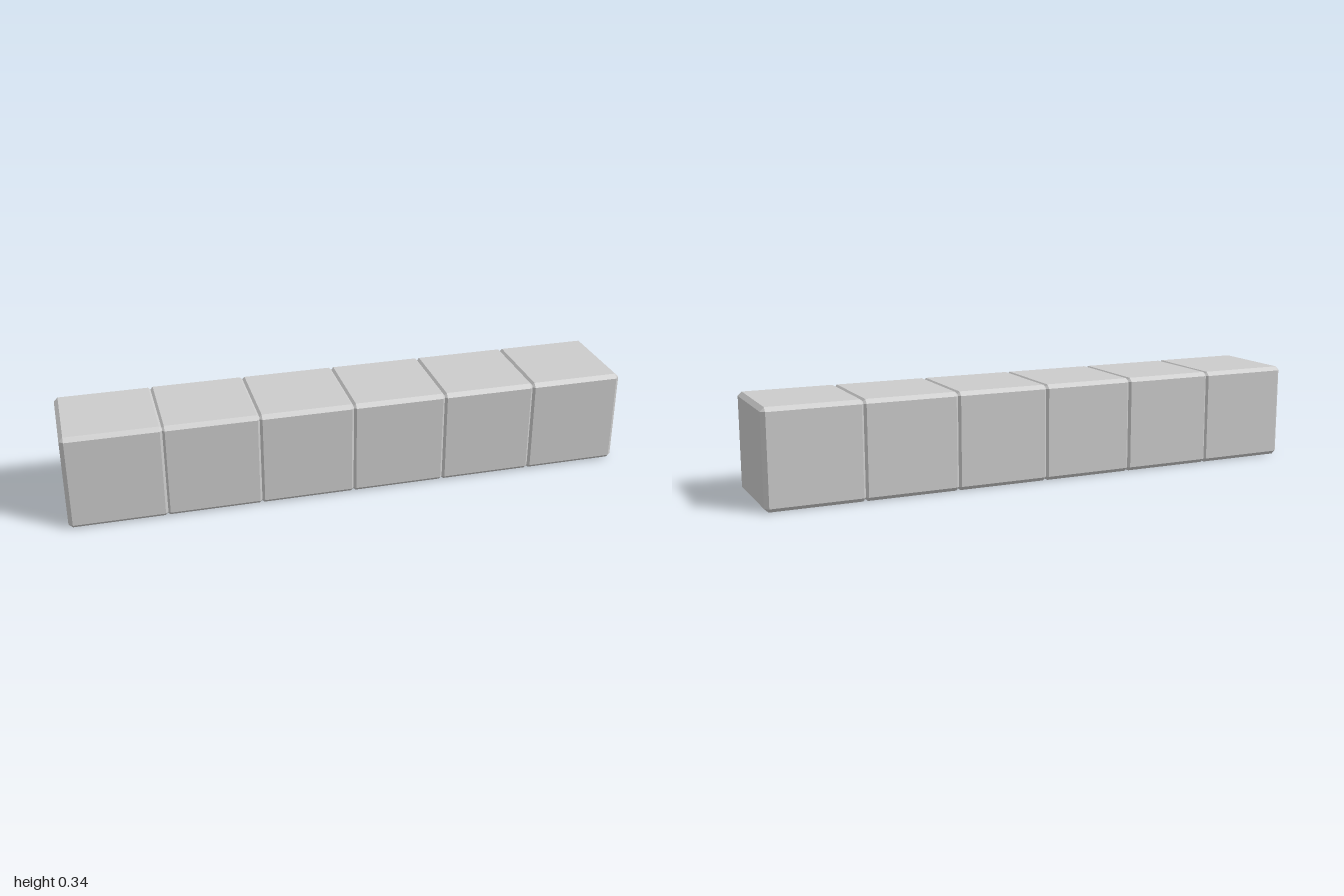
import * as THREE from 'three';
import { ConvexGeometry } from 'three/addons/geometries/ConvexGeometry.js';

const SIZE = 0.343, BEVEL = 0.014, COUNT = 6;

// Cube with flat chamfers: three points near every corner
function chamferedCube(size, bevel) {
  const h = size / 2, i = h - bevel, points = [];
  for (const x of [-1, 1]) for (const y of [-1, 1]) for (const z of [-1, 1]) {
    points.push(
      new THREE.Vector3(x * h, y * i, z * i),
      new THREE.Vector3(x * i, y * h, z * i),
      new THREE.Vector3(x * i, y * i, z * h));
  }
  return new ConvexGeometry(points);
}

export function createModel() {
  const group = new THREE.Group();
  group.name = 'blockRow';
  const material = new THREE.MeshStandardMaterial({ color: 0xcccccc, flatShading: true });
  const geometry = chamferedCube(SIZE, BEVEL);

  // Row of slightly overlapping blocks, leaving shallow grooves at the joints
  const step = (2 - SIZE) / (COUNT - 1);
  for (let n = 0; n < COUNT; n++) {
    const block = new THREE.Mesh(geometry, material);
    block.name = `block${n + 1}`;
    block.position.set(-1 + SIZE / 2 + n * step, 0.175, -0.002);
    group.add(block);
  }

  // The end block sits a hair forward and tilted
  const end = group.children[0];
  end.position.z += 0.002;
  end.rotation.x = -0.005;
  return group;
}
